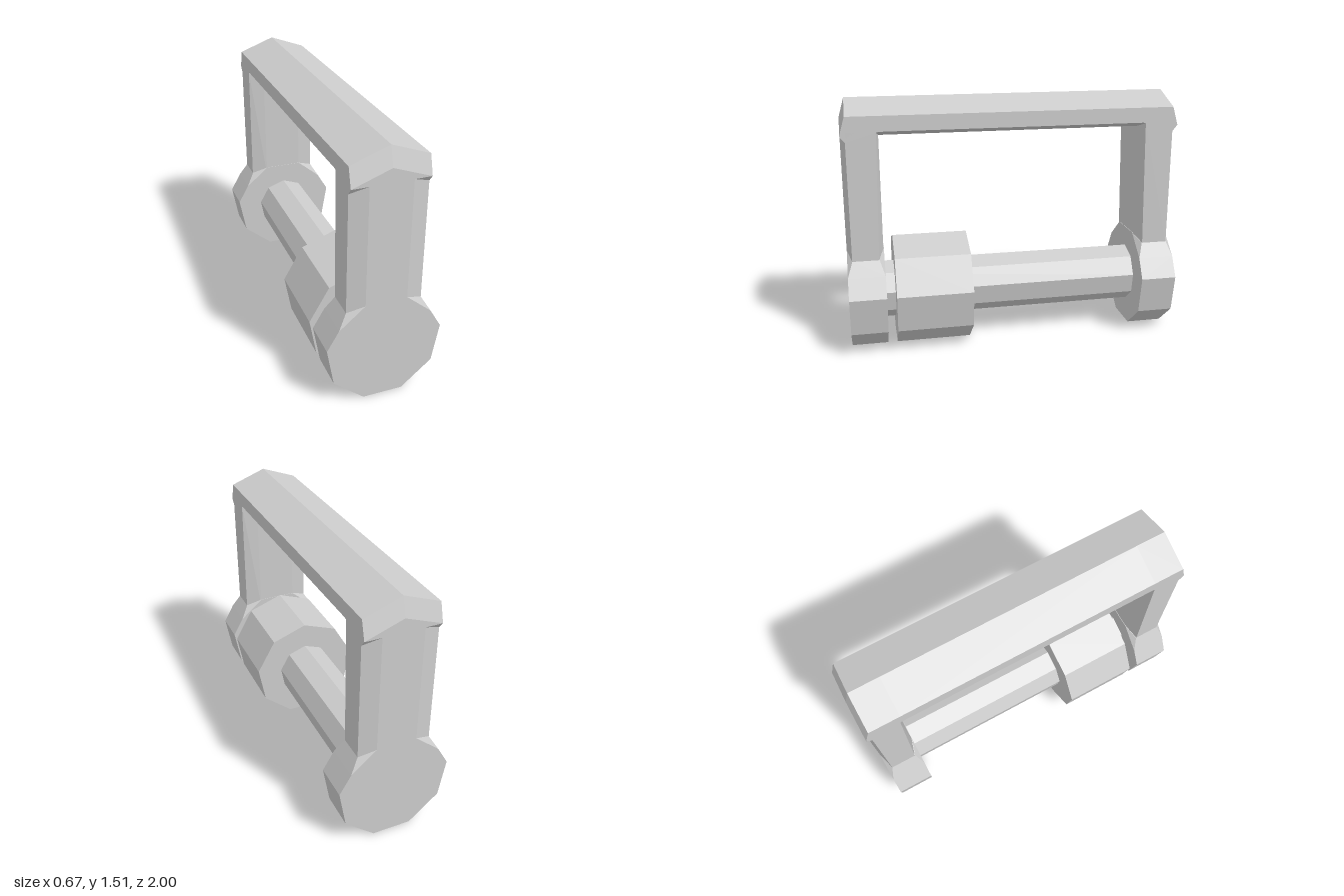
import * as THREE from 'three';
import { ConvexGeometry } from 'three/addons/geometries/ConvexGeometry.js';

const AXIS_Y = 0.32;

// Convex block from points given for the +x half, mirrored across x
function block(points) {
  const all = [];
  for (const [x, y, z] of points) {
    all.push(new THREE.Vector3(x, y, z));
    if (x !== 0) all.push(new THREE.Vector3(-x, y, z));
  }
  return new ConvexGeometry(all);
}

// Turn every point through z as well, for pieces symmetric front to back
const bothEnds = (outline, z0, z1) => outline.flatMap(([x, y]) => [[x, y, z0], [x, y, z1]]);

export function createModel() {
  const grey = new THREE.MeshStandardMaterial({ color: 0xcccccc, flatShading: true });
  grey.name = 'light grey';
  const model = new THREE.Group();
  model.name = 'barHandle';

  const add = (parent, name, geometry) => {
    const mesh = new THREE.Mesh(geometry, grey);
    mesh.name = name;
    parent.add(mesh);
    return mesh;
  };

  // Nine-sided cylinder lying along z, one corner pointing up
  const nonagon = (name, r, z0, z1) => {
    const g = new THREE.CylinderGeometry(r, r, z1 - z0, 9).rotateX(-Math.PI / 2);
    add(model, name, g).position.set(0, AXIS_Y, (z0 + z1) / 2);
  };
  nonagon('rod', 0.178, -0.8, 0.8);
  nonagon('collar', 0.34, 0.27, 0.725);

  // Top grip: gabled above, chamfered below
  const grip = [[0, 1.51], [0.218, 1.43], [0.218, 1.34], [0.12, 1.305]];
  add(model, 'grip', block(bothEnds(grip, -0.785, 0.785)));

  // End plate: nonagon whose shoulders taper into the post
  const plate = block([
    ...bothEnds([[0.116, 0], [0.294, 0.15], [0.335, 0.379], [0.268, 0.495], [0.12, 0.62]], 0.782, 1),
    [0.218, 0.58, 0.97], [0.218, 0.58, 0.812],
  ]);

  // Post: chamfered column, slightly deeper at the top
  const post = block([
    ...[0.56, 1.34].flatMap((y) => [[0.12, y, 1], [0.218, y, 0.97]]),
    [0.218, 0.56, 0.815], [0.12, 0.56, 0.785],
    [0.218, 1.34, 0.798], [0.12, 1.34, 0.783],
  ]);

  // Corner cap: gable end sloping forward, with a small overhang below
  const cap = block([
    [0, 1.4, 1], [0.218, 1.32, 1], [0.12, 1.32, 1],
    [0, 1.51, 0.968], [0.218, 1.43, 0.968], [0.218, 1.283, 0.97],
    ...grip.map(([x, y]) => [x, y, 0.783]),
  ]);

  for (const [name, turn] of [['frontSupport', 0], ['backSupport', Math.PI]]) {
    const support = new THREE.Group();
    support.name = name;
    support.rotation.y = turn;
    add(support, 'endPlate', plate);
    add(support, 'post', post);
    add(support, 'cornerCap', cap);
    model.add(support);
  }
  return model;
}
